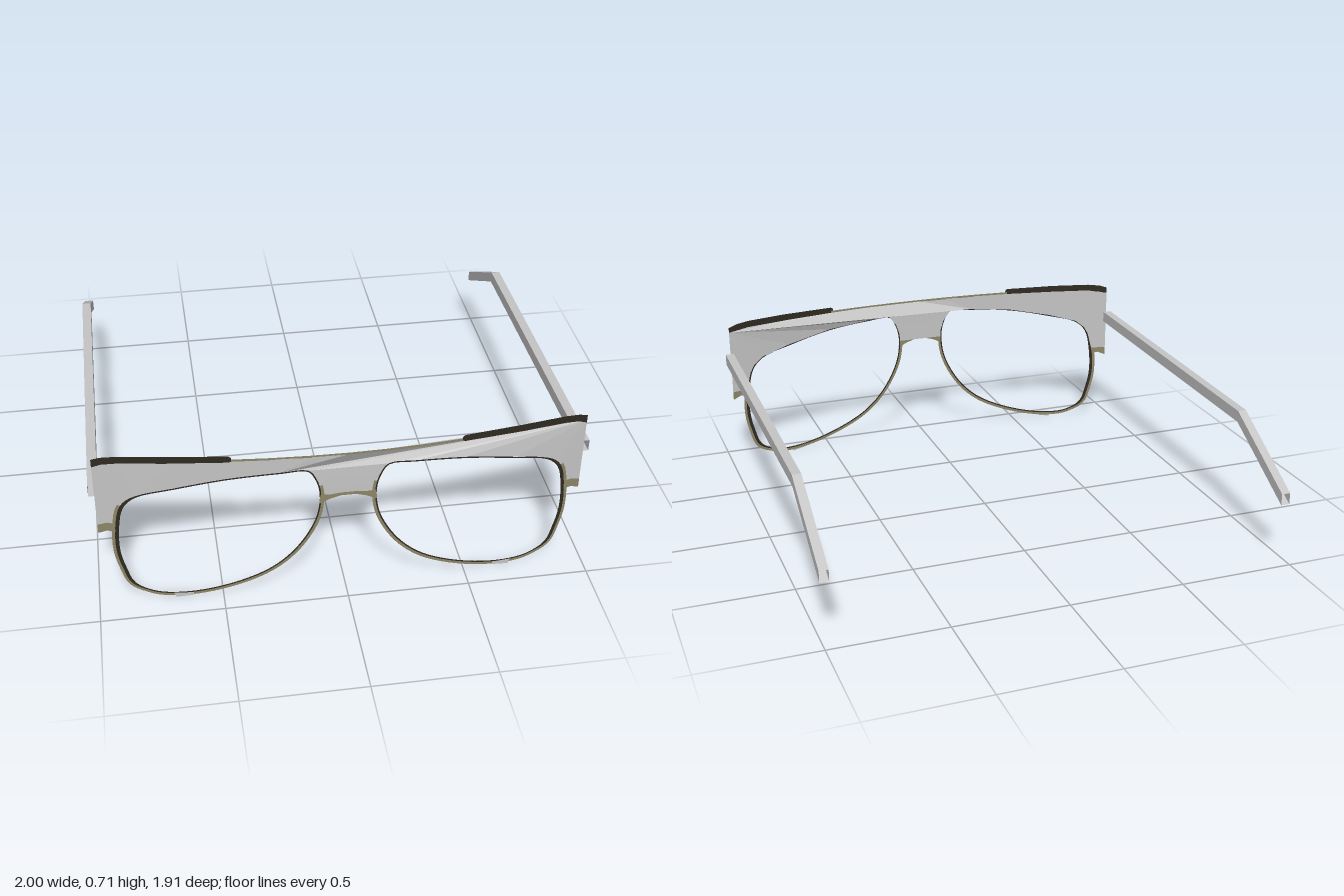
import * as THREE from 'three';

const mat = (name, color) => new THREE.MeshStandardMaterial({ name, color, side: THREE.DoubleSide });

// The whole front is a thin sheet wrapped on this curve
const bend = ([x, y], lift = 0) => [x, y, 0.955 - 0.113 * x * x + lift];
const mirror = (pts) => pts.map(([x, y]) => [-x, y]);

function facets(name, tris, material) {
  const g = new THREE.BufferGeometry();
  g.setAttribute('position', new THREE.Float32BufferAttribute(tris.flat(2), 3));
  g.computeVertexNormals();
  const mesh = new THREE.Mesh(g, material);
  mesh.name = name;
  return mesh;
}

// Triangles between two matching lists of 3D points
function strip(a, b) {
  const tris = [];
  for (let i = 0; i < a.length - 1; i++) {
    tris.push([a[i], b[i], b[i + 1]], [a[i], b[i + 1], a[i + 1]]);
  }
  return tris;
}

// Triangles from one hub point to a list of points
const fan = (hub, pts) => pts.slice(1).map((p, i) => [hub, pts[i], p]);

const ribbon = (name, a, b, material, lift = 0) =>
  facets(name, strip(a.map((p) => bend(p, lift)), b.map((p) => bend(p, lift))), material);

// Lens opening on the -x side, from the inner top, round the outside
const OPENING = [
  [-0.16, 0.622], [-0.26, 0.62], [-0.47, 0.6], [-0.68, 0.555], [-0.82, 0.515], [-0.87, 0.465],
  [-0.893, 0.37], [-0.898, 0.245], [-0.88, 0.155], [-0.85, 0.075], [-0.78, 0.035], [-0.7, 0.026],
  [-0.58, 0.04], [-0.43, 0.085], [-0.31, 0.145], [-0.225, 0.22], [-0.16, 0.315], [-0.122, 0.41],
  [-0.113, 0.51], [-0.13, 0.58],
];

// Inner, middle and outer outlines of the rim
function rimLoops() {
  const curve = new THREE.CatmullRomCurve3(
    OPENING.map(([x, y]) => new THREE.Vector3(x, y, 0)), true);
  const inner = [], middle = [], outer = [];
  const n = 80;
  for (let i = 0; i <= n; i++) {
    const p = curve.getPoint((i % n) / n), t = curve.getTangent((i % n) / n);
    const out = (d) => [p.x + t.y * d, p.y - t.x * d];
    const side = THREE.MathUtils.smoothstep(-p.x, 0.8, 0.88);
    const dark = 0.006 + 0.009 * side;
    inner.push(out(0));
    middle.push(out(dark));
    outer.push(out(dark + 0.012));
  }
  return { inner, middle, outer };
}

// Hollow bent temple arm with open ends
function arm(side, material) {
  const sections = [[0.845, 0.539], [-0.56, 0.511], [-0.957, 0.288]].map(([z, y]) =>
    [[0.962, -1], [1, -1], [1, 1], [0.962, 1], [0.962, -1]].map(([x, s]) => [side * x, y + s * 0.025, z]));
  const tris = [];
  for (let i = 0; i < 2; i++) {
    const [a, b] = side > 0 ? [sections[i + 1], sections[i]] : [sections[i], sections[i + 1]];
    tris.push(...strip(a, b));
  }
  return facets(side > 0 ? 'leftArm' : 'rightArm', tris, material);
}

export function createModel() {
  const group = new THREE.Group();
  const grey = mat('lightGrey', 0xc4c4c4);
  const olive = mat('olive', 0x8c8568);
  const dark = mat('darkBrown', 0x2f2a21);

  // Brow sheet on the -x side follows the curve
  const browLow = [[-0.27, 0.624], [-0.47, 0.605], [-0.68, 0.561], [-0.82, 0.521],
    [-0.865, 0.485], [-0.885, 0.45], [-0.905, 0.37]];
  const browTop = [[-0.27, 0.69], [-0.47, 0.688], [-0.68, 0.685], [-0.88, 0.682],
    [-0.977, 0.665], [-0.977, 0.5], [-0.977, 0.37]];
  group.add(ribbon('rightBrow', browTop, browLow, grey));

  // Brow sheet on the +x side is folded in long flat facets from its far corner
  const corner = bend([0.977, 0.67]);
  const inside = bend([-0.27, 0.624]);
  const topLine = [[0, 0.69], [0.27, 0.69], [0.47, 0.688], [0.68, 0.685], [0.88, 0.682]].map((p) => bend(p));
  const lowLine = [[-0.27, 0.624], [-0.16, 0.626], [0.16, 0.626],
    ...mirror(browLow), [0.977, 0.37]].map((p) => bend(p));
  const middleTop = [[-0.27, 0.69], [-0.13, 0.69], [0, 0.69]].map((p) => bend(p));
  group.add(facets('leftBrow', [
    ...fan(inside, middleTop.reverse()),
    [inside, corner, topLine[0]],
    ...fan(corner, topLine),
    ...fan(corner, lowLine).map(([a, b, c]) => [a, c, b]).map(([a, b, c]) => [a, c, b]),
  ], grey));

  // Nose bridge
  const bridge = [[-0.16, 0.626], [-0.125, 0.58], [-0.108, 0.53], [-0.107, 0.495]];
  group.add(ribbon('bridge', bridge, mirror(bridge), grey));
  const archTop = [[-0.11, 0.505], [-0.07, 0.503], [-0.03, 0.508], [0.03, 0.508], [0.07, 0.503], [0.11, 0.505]];
  const archLow = [[-0.115, 0.46], [-0.07, 0.482], [-0.03, 0.494], [0.03, 0.494], [0.07, 0.482], [0.115, 0.46]];
  group.add(ribbon('bridgeEdge', archTop, archLow, olive, 0.002));

  // Thin strip along the middle of the top edge
  const topEdge = [-0.46, -0.3, -0.15, 0, 0.15, 0.3, 0.46];
  group.add(ribbon('topEdge', topEdge.map((x) => [x, 0.698]), topEdge.map((x) => [x, 0.688]), olive));

  const { inner, middle, outer } = rimLoops();
  const capTop = [[-0.977, 0.693], [-0.94, 0.705], [-0.88, 0.712], [-0.7, 0.715], [-0.46, 0.714], [-0.45, 0.708]];
  const capLow = [[-0.977, 0.657], [-0.94, 0.672], [-0.88, 0.68], [-0.7, 0.683], [-0.46, 0.685], [-0.45, 0.69]];

  for (const side of [-1, 1]) {
    const name = side > 0 ? 'left' : 'right';
    const flip = (pts) => (side > 0 ? mirror(pts) : pts);
    const add = (part, a, b, material, lift) =>
      group.add(side > 0 ? ribbon(name + part, flip(b), flip(a), material, lift)
        : ribbon(name + part, a, b, material, lift));

    // Rim: dark lip all round, olive band below the brow
    add('RimLip', middle, inner, dark, 0.001);
    add('RimBand', outer.slice(20, 75), middle.slice(20, 75), olive, 0.001);

    // Dark corner trim, hinge plate and the small tab under the lens
    add('TopTrim', capTop, capLow, dark, 0.001);
    add('Hinge', [[-0.977, 0.372], [-0.94, 0.385], [-0.905, 0.38]],
      [[-0.977, 0.33], [-0.94, 0.345], [-0.908, 0.338]], olive, 0.001);
    add('LowerTab', [[-0.7, 0.022], [-0.62, 0.026]], [[-0.69, 0], [-0.62, 0.012]], grey, 0.002);

    group.add(arm(side, grey));
  }
  return group;
}
